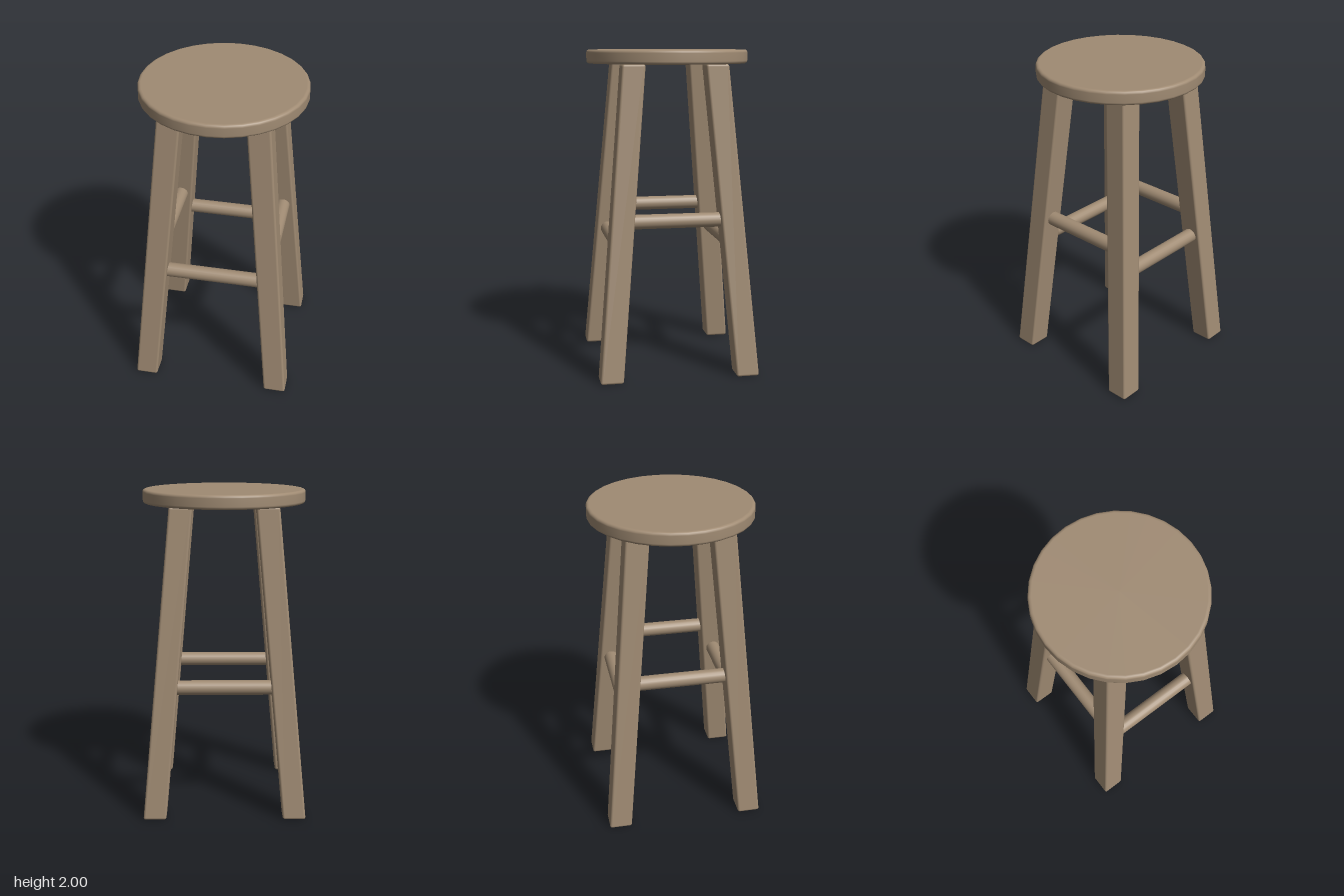
import * as THREE from 'three';
import { RoundedBoxGeometry } from 'three/addons/geometries/RoundedBoxGeometry.js';

const SEAT_R = 0.507, SEAT_BOTTOM = 1.915, SEAT_TOP = 2;
const LEG_W = 0.142, RUNG_R = 0.045;
const FOOT = { x: 0.433, z: 0.424 }, HEAD = { x: 0.26, z: 0.255 };

// Centre of a leg along one axis at height y
const legAt = (axis, y) => THREE.MathUtils.lerp(FOOT[axis], HEAD[axis], y / SEAT_BOTTOM);

export function createModel() {
  const group = new THREE.Group();
  const wood = new THREE.MeshStandardMaterial({ color: 0xa08b73 });
  wood.name = 'wood';

  const add = (name, geometry) => {
    const mesh = new THREE.Mesh(geometry, wood);
    mesh.name = name;
    group.add(mesh);
    return mesh;
  };

  // Round seat with softly rounded rims
  const bevel = 0.018, steps = 4;
  const profile = [new THREE.Vector2(0, SEAT_BOTTOM), new THREE.Vector2(SEAT_R - bevel - 0.003, SEAT_BOTTOM)];
  for (const [y, start] of [[SEAT_BOTTOM + bevel, -Math.PI / 2], [SEAT_TOP - bevel, 0]]) {
    for (let i = 0; i <= steps; i++) {
      const a = start + (i / steps) * Math.PI / 2;
      profile.push(new THREE.Vector2(SEAT_R - bevel + bevel * Math.cos(a), y + bevel * Math.sin(a)));
    }
  }
  profile.push(new THREE.Vector2(SEAT_R - bevel - 0.003, SEAT_TOP), new THREE.Vector2(0, SEAT_TOP));
  add('seat', new THREE.LatheGeometry(profile, 32));

  // Four square legs, sheared so that they splay outwards with level feet
  for (const sx of [1, -1]) {
    for (const sz of [1, -1]) {
      const leg = new RoundedBoxGeometry(LEG_W, SEAT_BOTTOM, LEG_W, 2, 0.014);
      leg.translate(0, SEAT_BOTTOM / 2, 0);
      const kx = sx * (HEAD.x - FOOT.x) / SEAT_BOTTOM;
      const kz = sz * (HEAD.z - FOOT.z) / SEAT_BOTTOM;
      leg.applyMatrix4(new THREE.Matrix4().set(
        1, kx, 0, sx * FOOT.x,
        0, 1, 0, 0,
        0, kz, 1, sz * FOOT.z,
        0, 0, 0, 1
      ));
      add(`${sz > 0 ? 'front' : 'back'}${sx > 0 ? 'Left' : 'Right'}Leg`, leg);
    }
  }

  // Round rungs: low pair across front and back, higher pair along the sides
  const lowY = 0.815, highY = 0.968;
  for (const s of [1, -1]) {
    const cross = new THREE.CylinderGeometry(RUNG_R, RUNG_R, 2 * legAt('x', lowY), 20).rotateZ(Math.PI / 2);
    add(s > 0 ? 'frontRung' : 'backRung', cross).position.set(0, lowY, s * legAt('z', lowY));

    const side = new THREE.CylinderGeometry(RUNG_R, RUNG_R, 2 * legAt('z', highY), 20).rotateX(Math.PI / 2);
    add(s > 0 ? 'leftRung' : 'rightRung', side).position.set(s * legAt('x', highY), highY, 0);
  }

  return group;
}
